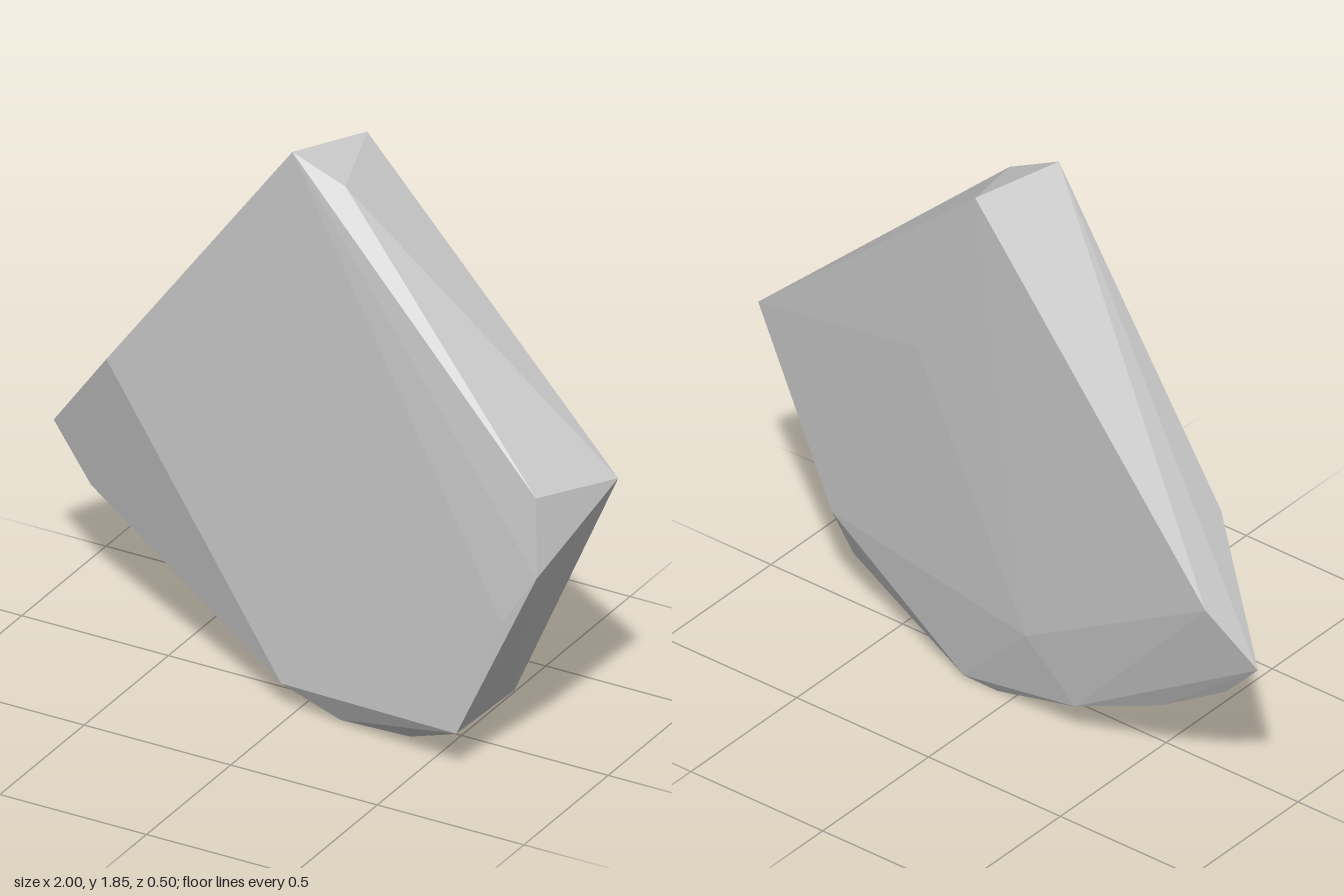
import * as THREE from 'three';
import { ConvexGeometry } from 'three/addons/geometries/ConvexGeometry.js';

// Corners of the faceted slab
const crown = [
  [-0.04, 1.845, 0.065], [0.13, 1.765, 0.045], [0.06, 1.815, -0.205],
];
const leftSide = [
  [0.88, 1.0, 0.22], [1.0, 0.97, -0.06], [0.9, 0.75, 0.25], [0.78, 0.57, 0.25],
  [0.7, 0.36, -0.085], [0.67, 0.19, -0.02], [0.62, 0.15, 0.24],
];
const rightSide = [
  [-0.72, 0.93, -0.015], [-1.0, 0.57, -0.19], [-0.85, 0.75, -0.25],
  [-0.85, 0.41, -0.15], [-0.6, 0.25, -0.14],
];
const back = [
  [0.31, 1.16, -0.17], [-0.12, 0.32, -0.19], [-0.28, 0.12, -0.16],
];
const base = [
  [-0.04, 0.09, 0.13], [0.06, 0, -0.1], [0.18, 0.01, -0.11], [0.15, 0.01, 0.11],
  [0.32, 0.01, 0.05], [0.4, 0.03, 0.13], [0.52, 0.06, 0.11],
];

export function createModel() {
  const group = new THREE.Group();
  group.name = 'rock';

  const stone = new THREE.MeshStandardMaterial({ color: 0xc7c7c7 });
  stone.name = 'pale stone grey';

  // One convex, flat-faceted stone
  const points = [crown, leftSide, rightSide, back, base].flat()
    .map(([x, y, z]) => new THREE.Vector3(x, y, z));
  const slab = new THREE.Mesh(new ConvexGeometry(points), stone);
  slab.name = 'stoneSlab';
  group.add(slab);
  return group;
}
